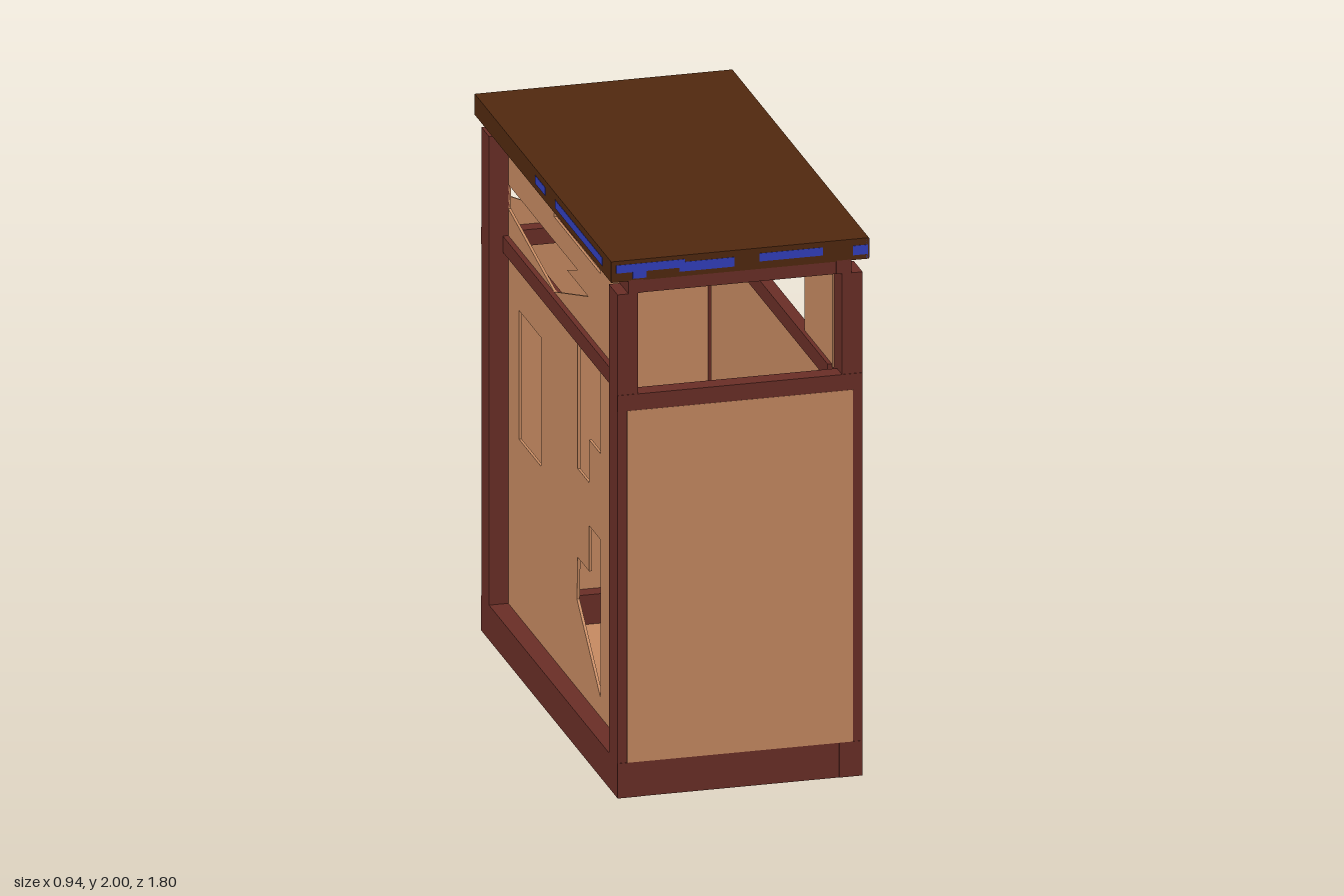
import * as THREE from 'three';

const mat = (color) => new THREE.MeshStandardMaterial({ color, flatShading: true });

export function createModel() {
  const model = new THREE.Group();
  const wood = mat(0x6b2f27), tan = mat(0xc98c63), dark = mat(0x52290f), blue = mat(0x3340c0);

  // box given by its minimum and maximum corners
  const box = (name, m, x0, x1, y0, y1, z0, z1) => {
    const mesh = new THREE.Mesh(new THREE.BoxGeometry(x1 - x0, y1 - y0, z1 - z0), m);
    mesh.position.set((x0 + x1) / 2, (y0 + y1) / 2, (z0 + z1) / 2);
    mesh.name = name;
    model.add(mesh);
    return mesh;
  };
  const points = (list) => list.map(([a, b]) => new THREE.Vector2(a, b));
  // thin board with cut-outs, drawn in its own plane
  const board = (name, outline, holes = []) => {
    const shape = new THREE.Shape(points(outline));
    holes.forEach((h) => shape.holes.push(new THREE.Path(points(h))));
    const geo = new THREE.ExtrudeGeometry(shape, { depth: 0.01, bevelEnabled: false });
    const mesh = new THREE.Mesh(geo, tan);
    mesh.name = name;
    model.add(mesh);
    return mesh;
  };
  // board lying in the z-y plane, with its outer face at x
  const sideBoard = (name, x, outline, holes) => {
    const mesh = board(name, outline, holes);
    mesh.rotation.y = -Math.PI / 2;
    mesh.position.x = x > 0 ? x : x + 0.01;
  };
  const rect = (a0, a1, b0, b1) => [[a0, b0], [a1, b0], [a1, b1], [a0, b1]];

  // corner posts and side rails
  for (const s of [-1, 1]) {
    const xr = (a, b) => (s > 0 ? [a, b] : [-b, -a]);
    box('frontPost', wood, ...xr(0.37, 0.445), 0.13, 1.875, 0.78, 0.895);
    box('backPost', wood, ...xr(0.37, 0.445), 0.13, 1.875, -0.89, -0.79);
    box('sideBaseRail', wood, ...xr(0.36, 0.445), 0, 0.13, -0.895, 0.897);
    box('sideMidRail', wood, ...xr(0.35, 0.395), 1.44, 1.5, -0.79, 0.78);
    box('sideTopRail', wood, ...xr(0.35, 0.405), 1.875, 1.925, -0.89, 0.895);
  }

  // rails and flush panels on the front and back
  for (const s of [-1, 1]) {
    const end = s > 0 ? 'front' : 'back';
    const zr = (a, b) => (s > 0 ? [a, b] : [-b, -a]);
    box(end + 'BaseRail', wood, -0.36, 0.36, 0, 0.13, ...zr(0.8, 0.895));
    box(end + 'MidRail', wood, -0.37, 0.37, 1.44, 1.5, ...zr(0.83, 0.893));
    box(end + 'RailFacing', wood, -0.445, 0.445, 1.44, 1.5, ...zr(0.885, 0.897));
    box(end + 'TopRail', wood, -0.35, 0.35, 1.875, 1.925, ...zr(0.83, 0.892));
    box(end + 'Panel', tan, -0.41, 0.41, 0.13, 1.44, ...zr(0.86, 0.898));
  }

  // upper back panel with cut-outs
  board('upperBackPanel', rect(-0.41, 0.41, 1.49, 1.88), [
    [[-0.37, 1.62], [-0.3, 1.59], [0, 1.59], [0, 1.69], [-0.37, 1.69]],
    rect(0.1, 0.2, 1.64, 1.69),
    [[0.005, 1.5], [0.2, 1.5], [0.2, 1.55], [0.1, 1.589], [0.005, 1.589]],
  ]).position.z = -0.897;

  // side panels, recessed behind the frame
  const lower = rect(-0.8, 0.79, 0.12, 1.45);
  sideBoard('leftPanel', 0.375, lower, [
    [[0.6, 1.44], [0.78, 1.44], [0.78, 0.46], [0.69, 0.3], [0.69, 1.1]],
    [[-0.19, 0.13], [-0.48, 0.46], [-0.79, 0.46], [-0.48, 0.13]],
    [[-0.64, 0.13], [-0.79, 0.3], [-0.79, 0.13]],
  ]);
  sideBoard('leftUpperPanel', 0.375, rect(0.42, 0.79, 1.49, 1.88));
  sideBoard('leftUpperBrace', 0.375,
    [[-0.19, 1.5], [-0.8, 1.69], [-0.8, 1.545], [-0.64, 1.57], [-0.48, 1.5]]);
  sideBoard('rightPanel', -0.375, lower, [
    rect(-0.65, -0.36, 0.79, 1.27),
    [[0.12, 1.44], [0.42, 1.44], [0.42, 1.11], [0.27, 1.11], [0.27, 0.95], [0.12, 0.95]],
    [[0.27, 0.79], [0.42, 0.79], [0.42, 0.2], [0.11, 0.46], [0.12, 0.62], [0.27, 0.62]],
    [[0.56, 1.44], [0.69, 1.44], [0.71, 1.2], [0.69, 1.1], [0.735, 0.8], [0.735, 0.62], [0.56, 0.62]],
  ]);
  sideBoard('rightUpperPanel', -0.375, rect(-0.8, 0.79, 1.49, 1.88), [
    [[0.42, 1.78], [0.42, 1.87], [0.12, 1.87], [-0.19, 1.83], [-0.19, 1.78]],
    [[-0.79, 1.69], [0.12, 1.69], [-0.02, 1.64], [0.26, 1.64], [-0.19, 1.5], [-0.79, 1.6]],
  ]);

  // floor and worktop
  box('floor', tan, -0.36, 0.36, 0.002, 0.02, -0.8, 0.8);
  box('worktop', dark, -0.468, 0.468, 1.922, 2, -0.895, 0.895);

  // worn blue paint on the worktop edge
  for (const [a, b, y0, y1] of [[-0.45, -0.2, 1.955, 1.985], [-0.22, -0.02, 1.94, 1.975],
    [-0.39, -0.34, 1.93, 1.96], [0.07, 0.3, 1.95, 1.98], [0.41, 0.465, 1.94, 1.975]]) {
    box('frontEdgePaint', blue, a, b, y0, y1, 0.89, 0.8965);
    box('backEdgePaint', blue, -b, -a, y0, y1, -0.8965, -0.89);
  }
  for (const [a, b, y0, y1] of [[0.78, 0.895, 1.925, 1.998], [0.38, 0.53, 1.925, 1.998],
    [0.53, 0.78, 1.95, 1.98], [0.16, 0.38, 1.945, 1.975], [-0.1, 0.03, 1.935, 1.97]]) {
    box('leftEdgePaint', blue, 0.46, 0.4695, y0, y1, a, b);
    if (b < 0.8) box('rightEdgePaint', blue, -0.4695, -0.46, 1.945, 1.975, a, b);
  }
  return model;
}
